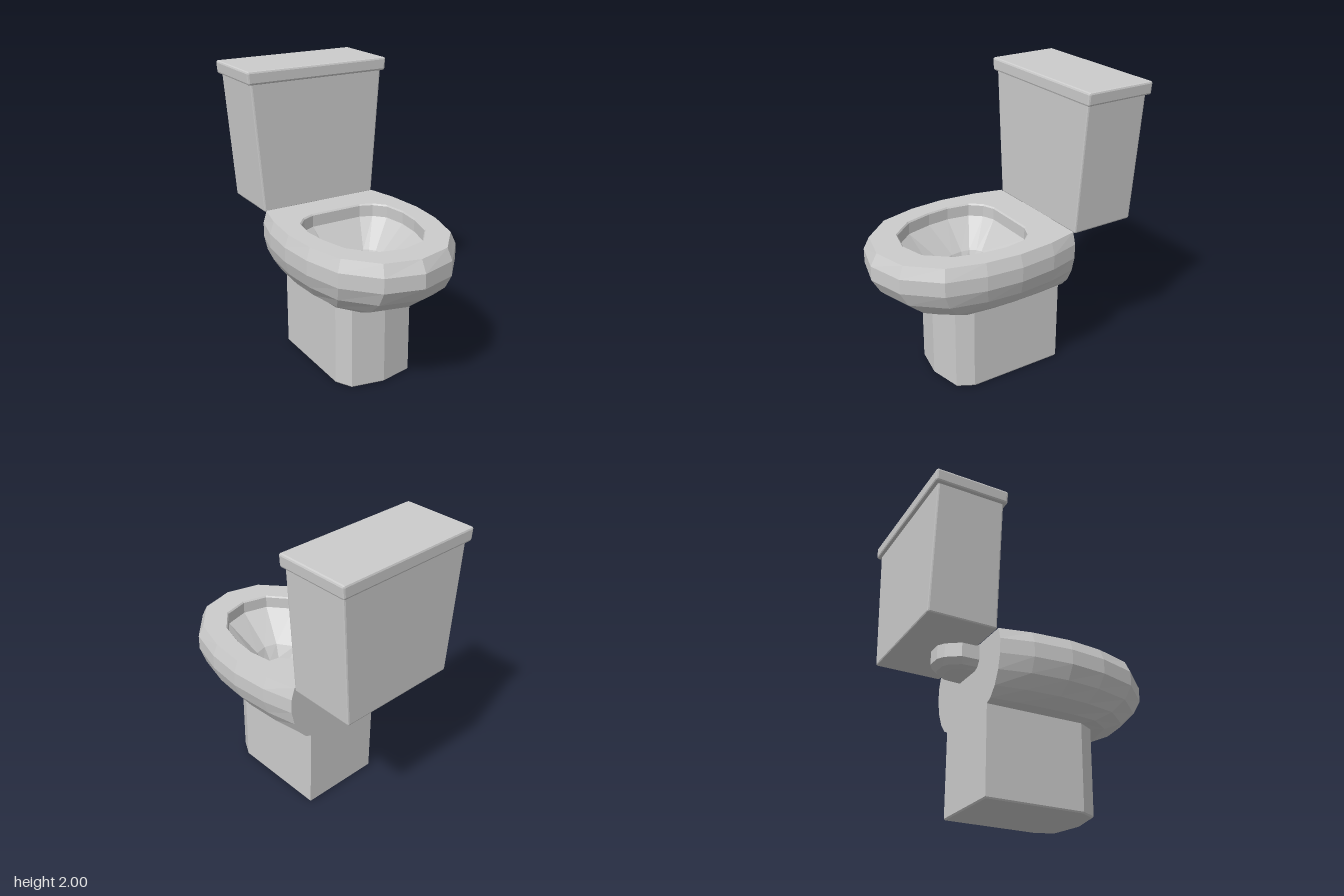
import * as THREE from 'three';
import { RoundedBoxGeometry } from 'three/addons/geometries/RoundedBoxGeometry.js';

const material = new THREE.MeshStandardMaterial({ color: 0xcccccc, flatShading: true });

// Half outlines [x, z], from the front centre round the left side to the back
const belly = [[0, 0.88], [0.25, 0.81], [0.44, 0.6], [0.51, 0.34], [0.53, 0.09], [0.505, -0.17], [0.45, -0.38], [0.2, -0.38]];
const rim = [[0, 0.835], [0.235, 0.775], [0.41, 0.58], [0.48, 0.33], [0.5, 0.09], [0.475, -0.17], [0.425, -0.38], [0.2, -0.38]];
const foot = [[0, 0.455], [0.225, 0.41], [0.285, 0.3], [0.285, 0.15], [0.285, 0], [0.285, -0.2], [0.285, -0.38], [0.14, -0.38]];
const opening = [[0, 0.655], [0.175, 0.61], [0.305, 0.455], [0.355, 0.27], [0.37, 0.11], [0.345, -0.05], [0.275, -0.13], [0.19, -0.165]];
const drainTop = [[0, 0.425], [0.09, 0.4], [0.165, 0.29], [0.195, 0.18], [0.205, 0.1], [0.195, 0.04], [0.165, 0], [0.13, -0.02]];
const drainFloor = [[0, 0.37], [0.07, 0.355], [0.125, 0.29], [0.155, 0.2], [0.165, 0.12], [0.16, 0.05], [0.14, 0.025], [0.11, 0.01]];
const neck = [[0, -0.37], [0.17, -0.37], [0.165, -0.5], [0.1, -0.59], [0.05, -0.62]];
const neckBase = [[0, -0.37], [0.11, -0.37], [0.1, -0.46], [0.06, -0.52], [0.03, -0.53]];

const blend = (a, b, t) => a.map(([x, z], i) => [x + (b[i][0] - x) * t, z + (b[i][1] - z) * t]);
const scaled = (a, s, cz) => a.map(([x, z]) => [x * s, cz + (z - cz) * s]);

// Mirrors a half outline into a closed ring at height y
function ring(half, y) {
  const mirrored = half.slice(1).reverse().map(([x, z]) => [-x, z]);
  return [...half, ...mirrored].map(([x, z]) => [x, y, z]);
}

// Skins a stack of rings and optionally closes its ends
function loft(rings, capStart, capEnd) {
  const n = rings[0].length;
  const pos = rings.flat(2);
  const index = [];
  for (let i = 0; i < rings.length - 1; i++) {
    for (let j = 0; j < n; j++) {
      const k = (j + 1) % n;
      const a = i * n + j, b = i * n + k, c = b + n, d = a + n;
      index.push(a, b, c, a, c, d);
    }
  }
  const cap = (r, up) => {
    const centre = pos.length / 3;
    const mean = [0, 1, 2].map((k) => rings[r].reduce((s, p) => s + p[k], 0) / n);
    pos.push(...mean);
    for (let j = 0; j < n; j++) {
      const a = r * n + j, b = r * n + (j + 1) % n;
      index.push(centre, ...(up ? [a, b] : [b, a]));
    }
  };
  if (capStart) cap(0, false);
  if (capEnd) cap(rings.length - 1, true);
  const geometry = new THREE.BufferGeometry();
  geometry.setAttribute('position', new THREE.Float32BufferAttribute(pos, 3));
  geometry.setIndex(index);
  geometry.computeVertexNormals();
  return geometry;
}

// Chamfered box whose width changes from bottom to top
function taperedBox(bottomWidth, topWidth, y0, y1, z0, z1, bevel) {
  const h = y1 - y0;
  const geometry = new RoundedBoxGeometry(topWidth, h, z1 - z0, 1, bevel);
  const p = geometry.attributes.position;
  for (let i = 0; i < p.count; i++) {
    const t = p.getY(i) / h + 0.5;
    p.setX(i, p.getX(i) * (bottomWidth / topWidth + (1 - bottomWidth / topWidth) * t));
  }
  geometry.translate(0, (y0 + y1) / 2, (z0 + z1) / 2);
  geometry.computeVertexNormals();
  return geometry;
}

export function createModel() {
  const group = new THREE.Group();
  const add = (name, geometry) => {
    const mesh = new THREE.Mesh(geometry, material);
    mesh.name = name;
    group.add(mesh);
  };

  // Pedestal with a bowed front and a small bottom chamfer
  add('pedestal', loft([
    ring(scaled(foot, 0.98, -0.02), 0),
    ring(foot, 0.01),
    ring(foot, 0.6),
  ], true, false));

  // Bowl: rounded outside, flat rim, lip, sloping basin and drain well
  add('bowl', loft([
    ring(foot, 0.59),
    ring(blend(belly, foot, 0.73), 0.61),
    ring(blend(belly, foot, 0.4), 0.67),
    ring(blend(belly, foot, 0.14), 0.76),
    ring(belly, 0.86),
    ring(belly, 0.96),
    ring(rim, 1.04),
    ring(opening, 1.04),
    ring(scaled(opening, 0.98, 0.24), 1.03),
    ring(scaled(opening, 0.98, 0.24), 0.95),
    ring(drainTop, 0.76),
    ring(drainFloor, 0.67),
  ], false, true));

  // Neck carrying the tank behind the bowl
  add('tankNeck', loft([
    ring(neckBase, 0.875),
    ring(blend(neckBase, neck, 0.55), 0.89),
    ring(neck, 0.93),
    ring(neck, 1.035),
  ], true, true));

  // Tank and lid
  add('tank', taperedBox(0.86, 1.0, 1.025, 1.93, -0.855, -0.39, 0.012));
  add('tankLid', taperedBox(1.045, 1.06, 1.91, 2, -0.88, -0.37, 0.014));

  return group;
}
